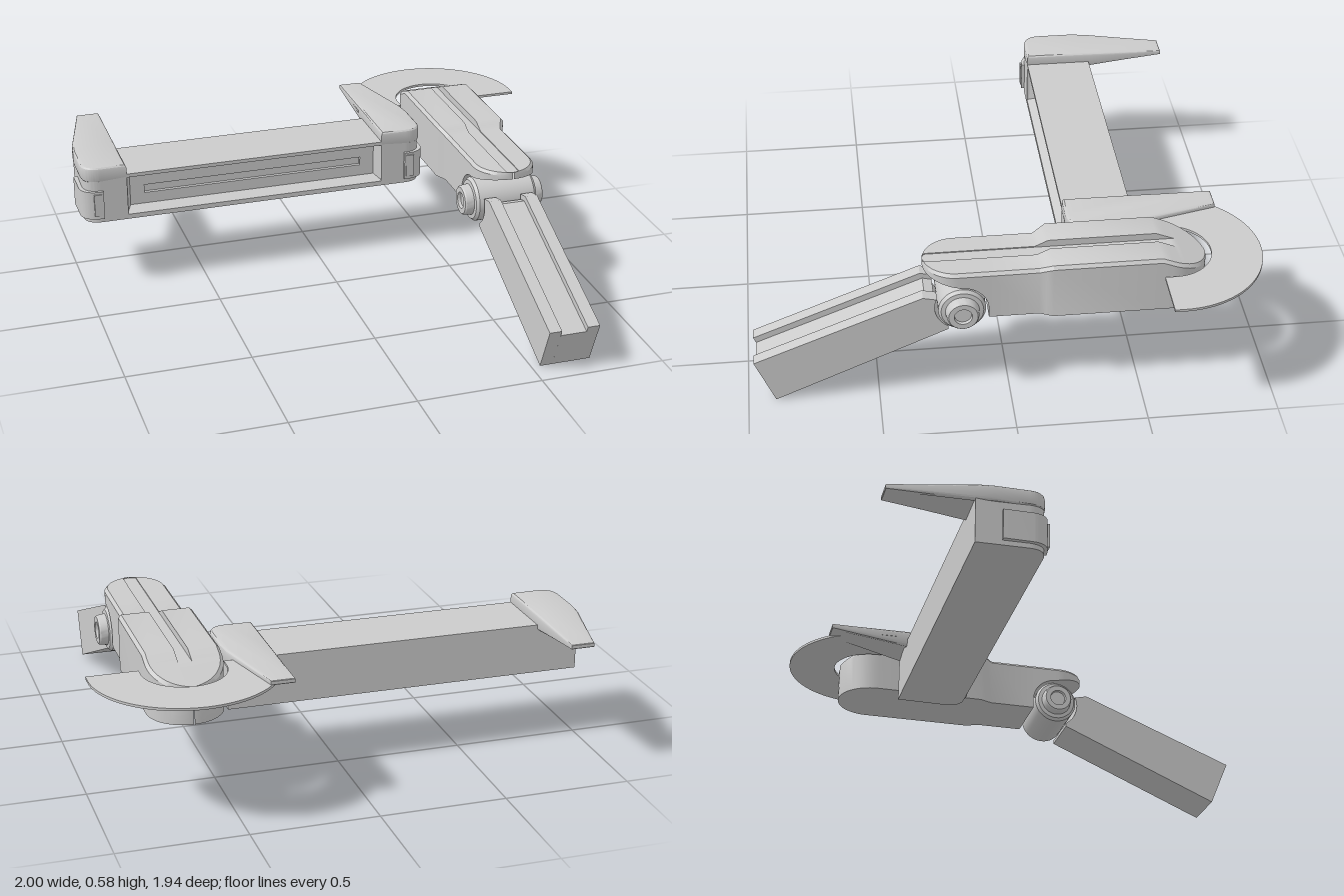
import * as THREE from 'three';
import { toCreasedNormals } from 'three/addons/utils/BufferGeometryUtils.js';

const mat = new THREE.MeshStandardMaterial({ color: 0xcccccc });
const thinMat = new THREE.MeshStandardMaterial({ color: 0xcccccc, side: THREE.DoubleSide });
const BAR_X = -0.265; // middle of the crossbar
const ARM_X = 0.638;  // middle of the arm

function mesh(name, geo, parent, m = mat) {
  const o = new THREE.Mesh(toCreasedNormals(geo, 0.5), m);
  o.name = name;
  parent.add(o);
  return o;
}
function box(name, parent, x0, x1, y0, y1, z0, z1) {
  const g = new THREE.BoxGeometry(x1 - x0, y1 - y0, z1 - z0);
  g.translate((x0 + x1) / 2, (y0 + y1) / 2, (z0 + z1) / 2);
  return mesh(name, g, parent);
}
// Plan outline (x, -z) raised from y0 to y1
function plan(shape, y0, y1, bevel = 0) {
  const g = new THREE.ExtrudeGeometry(shape, {
    depth: y1 - y0 - 2 * bevel, curveSegments: 24, bevelEnabled: bevel > 0,
    bevelSize: bevel, bevelThickness: bevel, bevelOffset: -bevel, bevelSegments: 3,
  });
  g.rotateX(-Math.PI / 2);
  g.translate(0, y0 + bevel, 0);
  return g;
}
// Side outline (z, y) extruded across x0..x1
function side(points, x0, x1) {
  const g = new THREE.ExtrudeGeometry(new THREE.Shape(points), { depth: x1 - x0, bevelEnabled: false });
  g.rotateY(-Math.PI / 2);
  g.translate(x1, 0, 0);
  return g;
}
// Closed cross-section rings joined in order
function loft(rings) {
  const n = rings[0].length, pos = rings.flat(2), idx = [];
  for (let i = 0; i < rings.length - 1; i++)
    for (let j = 0; j < n; j++) {
      const k = (j + 1) % n, a = i * n + j, b = i * n + k;
      idx.push(a, b, b + n, a, b + n, a + n);
    }
  const g = new THREE.BufferGeometry();
  g.setAttribute('position', new THREE.Float32BufferAttribute(pos, 3));
  g.setIndex(idx);
  g.computeVertexNormals();
  return g;
}
// Piecewise-linear lookup through [position, value] pairs
function ramp(pairs, t) {
  for (let i = 1; i < pairs.length; i++) {
    const [a, u] = pairs[i - 1], [b, v] = pairs[i];
    if (t <= b) return u + (v - u) * Math.max(0, (t - a) / (b - a));
  }
  return pairs[pairs.length - 1][1];
}

function crossbar() {
  const g = new THREE.Group();
  g.name = 'crossbar';
  g.position.x = BAR_X;

  box('barCore', g, -0.55, 0.55, 0.29, 0.49, -0.53, -0.325);
  // front frame around the recess
  box('topRail', g, -0.55, 0.55, 0.475, 0.49, -0.33, -0.26);
  box('bottomRail', g, -0.55, 0.55, 0.29, 0.31, -0.33, -0.26);
  const rect = (w, y0, y1, z) => [[-w, y0, z], [w, y0, z], [w, y1, z], [-w, y1, z]];
  mesh('recessBevel', loft([rect(0.55, 0.31, 0.475, -0.26), rect(0.525, 0.328, 0.455, -0.31)]), g, thinMat);
  // recessed panel with a long slot
  const panel = new THREE.Shape([[-0.53, 0.32], [0.53, 0.32], [0.53, 0.46], [-0.53, 0.46]].map(p => new THREE.Vector2(...p)));
  panel.holes.push(new THREE.Path([[-0.465, 0.375], [-0.465, 0.41], [0.465, 0.41], [0.465, 0.375]].map(p => new THREE.Vector2(...p))));
  const pg = new THREE.ExtrudeGeometry(panel, { depth: 0.018, bevelEnabled: false });
  pg.translate(0, 0, -0.328);
  mesh('slottedPanel', pg, g);

  for (const s of [1, -1]) {
    const end = new THREE.Shape();
    end.moveTo(s * 0.545, 0.53);
    end.lineTo(s * 0.715, 0.53);
    end.lineTo(s * 0.72, 0.33);
    end.quadraticCurveTo(s * 0.72, 0.26, s * 0.65, 0.26);
    end.lineTo(s * 0.545, 0.26);
    mesh('barEnd', plan(end, 0.29, 0.49), g);

    // horn: lies on the bar end and thins towards its tip
    const horn = new THREE.Shape();
    horn.moveTo(s * 0.545, 0.26);
    horn.lineTo(s * 0.545, 0.53);
    horn.lineTo(s * 0.545, 0.848);
    horn.lineTo(s * 0.638, 0.848);
    horn.lineTo(s * 0.718, 0.53);
    horn.lineTo(s * 0.726, 0.46);
    horn.lineTo(s * 0.726, 0.33);
    horn.quadraticCurveTo(s * 0.726, 0.258, s * 0.65, 0.258);
    const hg = plan(horn, 0.465, 0.532, 0.014);
    const p = hg.attributes.position;
    for (let i = 0; i < p.count; i++) {
      const k = Math.min(1, Math.max(0, (-0.53 - p.getZ(i)) / 0.31));
      const f = (p.getY(i) - 0.465) / 0.067;
      p.setY(i, 0.465 + 0.04 * k + f * (0.067 - 0.045 * k));
    }
    mesh('horn', hg, g);

    // clip wrapped round the front corner
    const clip = new THREE.Shape();
    clip.moveTo(s * 0.69, 0.43);
    clip.lineTo(s * 0.735, 0.43);
    clip.lineTo(s * 0.735, 0.32);
    clip.quadraticCurveTo(s * 0.735, 0.247, s * 0.645, 0.247);
    clip.lineTo(s * 0.645, 0.30);
    mesh('cornerClip', plan(clip, 0.31, 0.43), g);
    const xs = [s * 0.652, s * 0.685].sort((a, b) => a - b);
    box('clipTab', g, xs[0], xs[1], 0.325, 0.42, -0.27, -0.243);
  }
  return g;
}

function arm() {
  const R = 0.147, r = 0.125, zs = [];
  for (let i = 0; i <= 14; i++) {
    const a = (i / 14) * Math.PI / 2;
    zs.push(-0.61 - R * Math.cos(a), 0.195 + r * Math.sin(a)); // round ends
    if (i < 12) zs.push(0.0801 + 0.1 * (1 - Math.cos((i / 11) * Math.PI / 2)));
  }
  zs.push(-0.57, -0.16, -0.135, -0.11, 0.08);
  zs.sort((a, b) => a - b);
  const rings = zs.map(z => {
    let w = ramp([[-0.16, R], [-0.11, r]], z);
    if (z < -0.61) w = Math.sqrt(Math.max(0, R * R - (z + 0.61) ** 2));
    if (z > 0.195) w = Math.sqrt(Math.max(0, r * r - (z - 0.195) ** 2));
    w = Math.max(w, 0.002);
    const t = ramp([[-0.757, 0.5], [-0.57, 0.576], [-0.16, 0.576], [-0.11, 0.552]], z);
    let b = 0.35;
    if (z > 0.08) b = 0.39 + Math.sqrt(Math.max(0, 0.01 - (z - 0.18) ** 2));
    if (z > 0.18) b = ramp([[0.18, 0.49], [0.32, 0.522]], z);
    const c = Math.min(0.012, w * 0.3), q = Math.min(0.026, w * 0.5), f = Math.min(t, 0.548);
    return [[-w, b], [w, b], [w, t - c], [w - c, t], [q, t], [q, f], [-q, f], [-q, t], [c - w, t], [-w, t - c]]
      .map(([x, y]) => [x, y, z]);
  });
  return loft(rings);
}

export function createModel() {
  const root = new THREE.Group();
  root.name = 'model';
  root.add(crossbar());

  const armGroup = new THREE.Group();
  armGroup.name = 'armAssembly';
  armGroup.position.x = ARM_X;
  root.add(armGroup);
  mesh('arm', arm(), armGroup);

  // flat half-ring guard round the back of the arm
  const ring = new THREE.Shape();
  ring.moveTo(0.36, 0.575);
  ring.lineTo(0.36, 0.61);
  ring.absarc(0, 0.612, 0.36, 0, Math.PI, false);
  ring.lineTo(-0.36, 0.575);
  ring.lineTo(-0.162, 0.575);
  ring.lineTo(-0.162, 0.612);
  ring.absarc(0, 0.617, 0.162, Math.PI, 0, true);
  ring.lineTo(0.162, 0.575);
  mesh('guardRing', plan(ring, 0.5, 0.51), armGroup);

  // hinge barrel with stepped bolt heads
  const half = [[0.055, 0.168], [0.06, 0.162], [0.064, 0.132], [0.08, 0.13], [0.09, 0.118]];
  const outline = [[0, 0.155], [0.032, 0.155], [0.034, 0.168], ...half];
  const profile = [...outline.map(([a, h]) => [a, -h]), ...outline.slice().reverse()];
  const hg = new THREE.LatheGeometry(profile.map(p => new THREE.Vector2(...p)), 40);
  hg.rotateZ(Math.PI / 2);
  mesh('hinge', hg, armGroup).position.set(0, 0.39, 0.18);

  // handle: two side rails and a lower middle strip, hollowed round the hinge
  const handle = drop => {
    const dz = -0.37 * drop, dy = -0.93 * drop;
    const pts = [[0.895, 0], [0.97 + dz, 0.182 + dy], [0.325 + dz, 0.44 + dy]];
    if (!drop) pts.push([0.272, 0.428]);
    for (let a = drop ? 10 : 20; a >= -60; a -= 10) {
      const t = a * Math.PI / 180;
      pts.push([0.18 + 0.102 * Math.cos(t), 0.39 + 0.102 * Math.sin(t)]);
    }
    pts.push([0.232, 0.287]);
    return pts.map(p => new THREE.Vector2(...p));
  };
  mesh('handleRail', side(handle(0), -0.103, -0.053), armGroup);
  mesh('handleRail', side(handle(0), 0.053, 0.103), armGroup);
  mesh('handleCore', side(handle(0.025), -0.053, 0.053), armGroup);
  return root;
}
